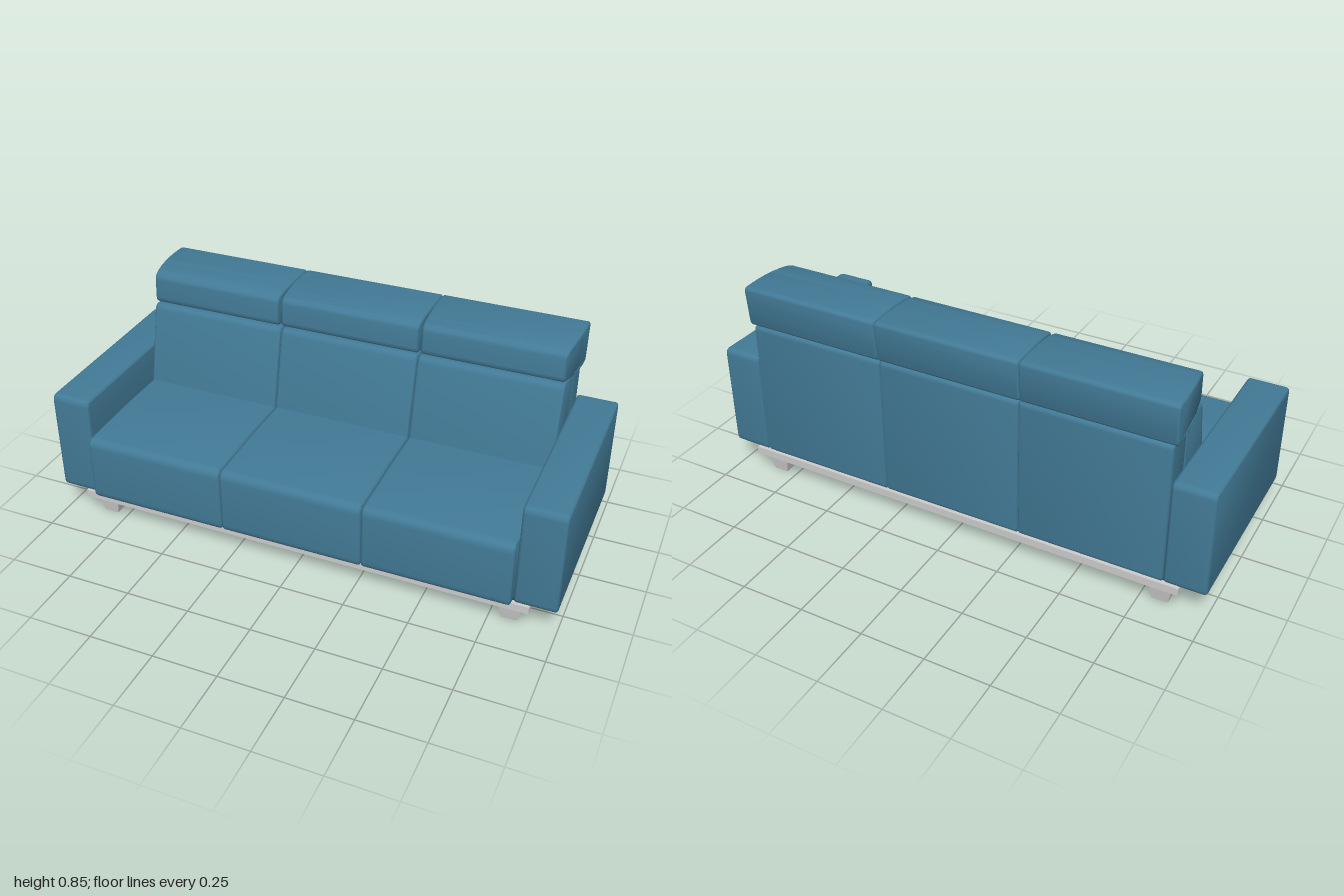
import * as THREE from 'three';
import { toCreasedNormals } from 'three/addons/utils/BufferGeometryUtils.js';

const fabric = new THREE.MeshStandardMaterial({ color: 0x427a96 });
const grey = new THREE.MeshStandardMaterial({ color: 0xcccccc });
const dark = new THREE.MeshStandardMaterial({ color: 0x333333 });

// Closed side profile of [z, y] points with softened corners
function softProfile(points, radius) {
  const pts = points.map(([z, y]) => new THREE.Vector2(z, y));
  const shape = new THREE.Shape();
  pts.forEach((p, i) => {
    const toward = (q) => {
      const d = q.clone().sub(p);
      return p.clone().addScaledVector(d, Math.min(radius / d.length(), 0.45));
    };
    const a = toward(pts[(i + pts.length - 1) % pts.length]);
    const b = toward(pts[(i + 1) % pts.length]);
    if (i === 0) shape.moveTo(a.x, a.y);
    else shape.lineTo(a.x, a.y);
    shape.quadraticCurveTo(p.x, p.y, b.x, b.y);
  });
  shape.closePath();
  return shape;
}

// Upholstered block: a side profile swept across x, with rounded side edges
function cushion(points, width, radius = 0.03, bevel = 0.012) {
  const geo = new THREE.ExtrudeGeometry(softProfile(points, radius), {
    depth: width - 2 * bevel, curveSegments: 5,
    bevelEnabled: true, bevelThickness: bevel, bevelSize: bevel, bevelOffset: -bevel, bevelSegments: 4,
  });
  geo.translate(0, 0, bevel - width / 2);
  geo.rotateY(-Math.PI / 2);
  return geo;
}

export function createModel() {
  const model = new THREE.Group();
  const add = (name, geo, material, x = 0, y = 0, z = 0) => {
    const mesh = new THREE.Mesh(geo, material);
    mesh.name = name;
    mesh.position.set(x, y, z);
    model.add(mesh);
    return mesh;
  };
  const smooth = (geo) => toCreasedNormals(geo, 0.6);

  // Side profiles
  const arm = [[0.385, 0.113], [0.385, 0.529], [-0.402, 0.538], [-0.402, 0.113]];
  const seat = [[0.418, 0.115], [0.418, 0.383], [0.15, 0.392], [-0.27, 0.39], [-0.27, 0.115]];
  const back = [[-0.062, 0.36], [-0.141, 0.706], [-0.2, 0.702], [-0.279, 0.688], [-0.279, 0.36]];
  const rear = [[-0.281, 0.115], [-0.281, 0.686], [-0.402, 0.679], [-0.402, 0.115]];
  const head = [
    [-0.14, 0.716], [-0.149, 0.829], [-0.2, 0.841], [-0.28, 0.846], [-0.35, 0.845],
    [-0.417, 0.842], [-0.404, 0.678], [-0.34, 0.682], [-0.27, 0.691], [-0.2, 0.703],
  ];

  // Armrests
  for (const side of [-1, 1]) {
    add(side > 0 ? 'leftArmrest' : 'rightArmrest', smooth(cushion(arm, 0.158, 0.026)), fabric, side * 0.921);
  }

  // Three seating places
  for (const i of [-1, 0, 1]) {
    const x = i * 0.56;
    add('seatCushion', smooth(cushion(seat, 0.558, 0.035)), fabric, x);
    add('backCushion', smooth(cushion(back, 0.558, 0.025)), fabric, x);
    add('rearPanel', smooth(cushion(rear, 0.558, 0.02, 0.008)), fabric, x);

    // Headrest narrows towards its front, mostly at the sofa's ends
    const geo = cushion(head, 0.57, 0.022, 0.01);
    const p = geo.attributes.position;
    for (let v = 0; v < p.count; v++) {
      const s = Math.sign(p.getX(v));
      const t = THREE.MathUtils.clamp((p.getZ(v) + 0.38) / 0.23, 0, 1);
      p.setX(v, p.getX(v) - s * (s === i ? 0.022 : 0.006) * t * t);
    }
    add('headrest', smooth(geo), fabric, i * 0.57);
  }

  // Base frame, open below around a dark lining
  const outline = new THREE.Shape([[-0.9, -0.38], [0.9, -0.38], [0.9, 0.4], [-0.9, 0.4]].map((c) => new THREE.Vector2(...c)));
  outline.holes.push(new THREE.Path([[-0.88, -0.36], [-0.88, 0.38], [0.88, 0.38], [0.88, -0.36]].map((c) => new THREE.Vector2(...c))));
  const frame = new THREE.ExtrudeGeometry(outline, { depth: 0.03, bevelEnabled: false });
  frame.rotateX(-Math.PI / 2);
  add('baseFrame', frame, grey, 0, 0.08, 0);
  add('baseLining', new THREE.BoxGeometry(1.762, 0.012, 0.742), dark, 0, 0.103, -0.01);

  // Tapered feet, leaning outwards towards the front and rear
  for (const sx of [-1, 1]) {
    for (const sz of [-1, 1]) {
      const geo = new THREE.BoxGeometry(1, 0.082, 1);
      const p = geo.attributes.position;
      const rearShift = sz < 0 ? 0.025 : 0;
      for (let v = 0; v < p.count; v++) {
        const top = p.getY(v) > 0;
        p.setX(v, sx * 0.824 + p.getX(v) * (top ? 0.096 : 0.06));
        p.setZ(v, sz * ((top ? 0.3 : 0.31) + rearShift) + p.getZ(v) * (top ? 0.098 : 0.053));
      }
      geo.computeVertexNormals();
      add('foot', geo, grey, 0, 0.041, 0);
    }
  }
  return model;
}
